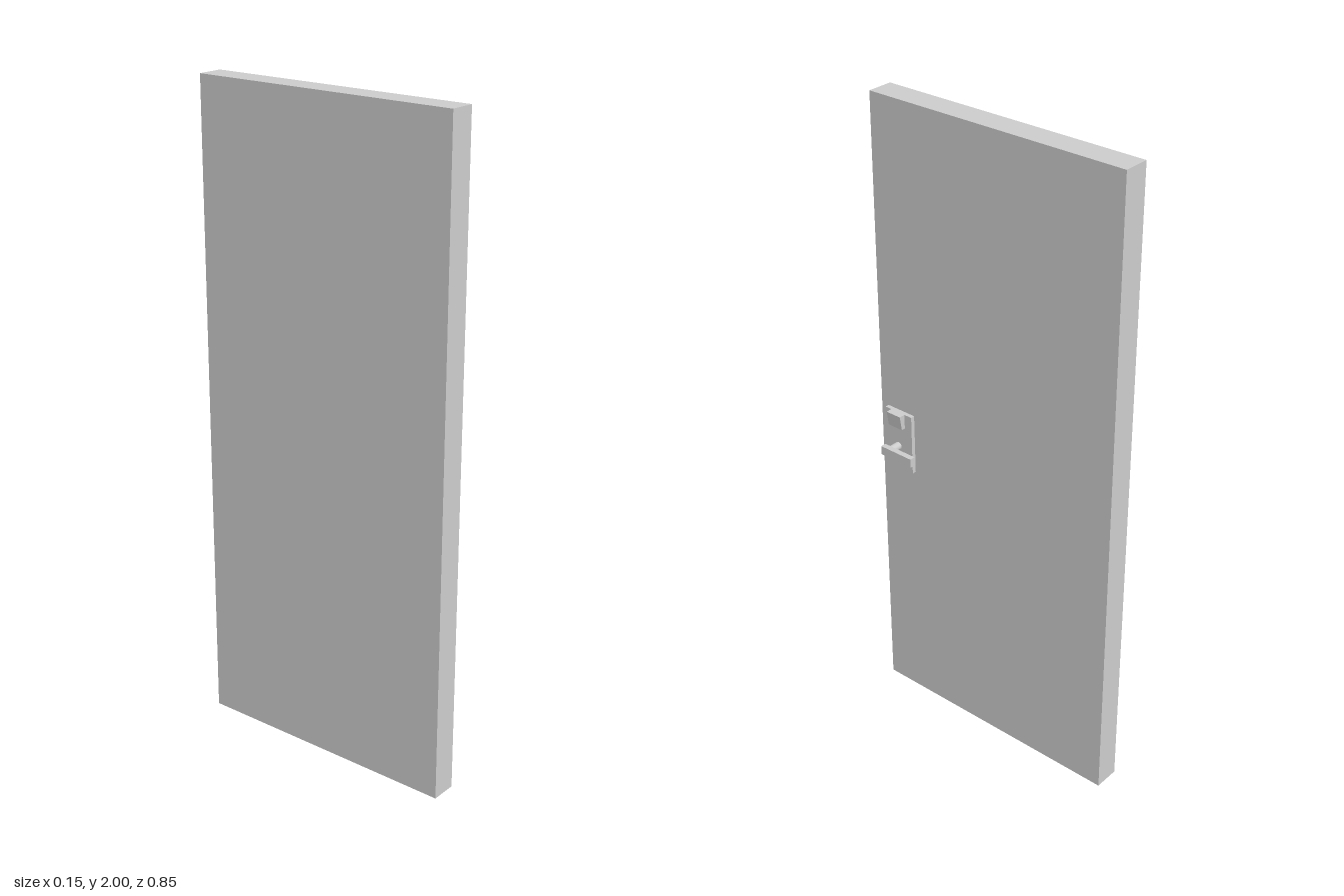
import * as THREE from 'three';

const material = new THREE.MeshStandardMaterial({ color: 0xcccccc });

// Box given by its limits on each axis
function box(name, [x0, x1], [y0, y1], [z0, z1]) {
  const mesh = new THREE.Mesh(new THREE.BoxGeometry(x1 - x0, y1 - y0, z1 - z0), material);
  mesh.position.set((x0 + x1) / 2, (y0 + y1) / 2, (z0 + z1) / 2);
  mesh.name = name;
  return mesh;
}

export function createModel() {
  const door = new THREE.Group();
  door.name = 'door';
  door.add(box('doorPanel', [-0.073, 0.008], [0, 2], [-0.427, 0.427]));

  // Lock hardware on the +x face
  const lock = new THREE.Group();
  lock.name = 'lockSet';
  lock.add(box('lockPlate', [0.008, 0.021], [0.837, 1.032], [0.298, 0.401]));

  // Lock housing, slightly deeper at the top than at the bottom
  const profile = new THREE.Shape([
    new THREE.Vector2(0.021, 0.985),
    new THREE.Vector2(0.034, 0.985),
    new THREE.Vector2(0.041, 1.032),
    new THREE.Vector2(0.021, 1.032),
  ]);
  const housing = new THREE.Mesh(
    new THREE.ExtrudeGeometry(profile, { depth: 0.053, bevelEnabled: false }), material);
  housing.position.z = 0.325;
  housing.name = 'lockHousing';
  lock.add(housing);

  // Round spindle carrying the lever
  const spindle = new THREE.Mesh(new THREE.CylinderGeometry(0.0125, 0.0125, 0.036, 24), material);
  spindle.rotation.z = Math.PI / 2;
  spindle.position.set(0.038, 0.914, 0.353);
  spindle.name = 'handleSpindle';
  lock.add(spindle);
  lock.add(box('handleLever', [0.055, 0.073], [0.9, 0.928], [0.257, 0.375]));

  door.add(lock);
  return door;
}
